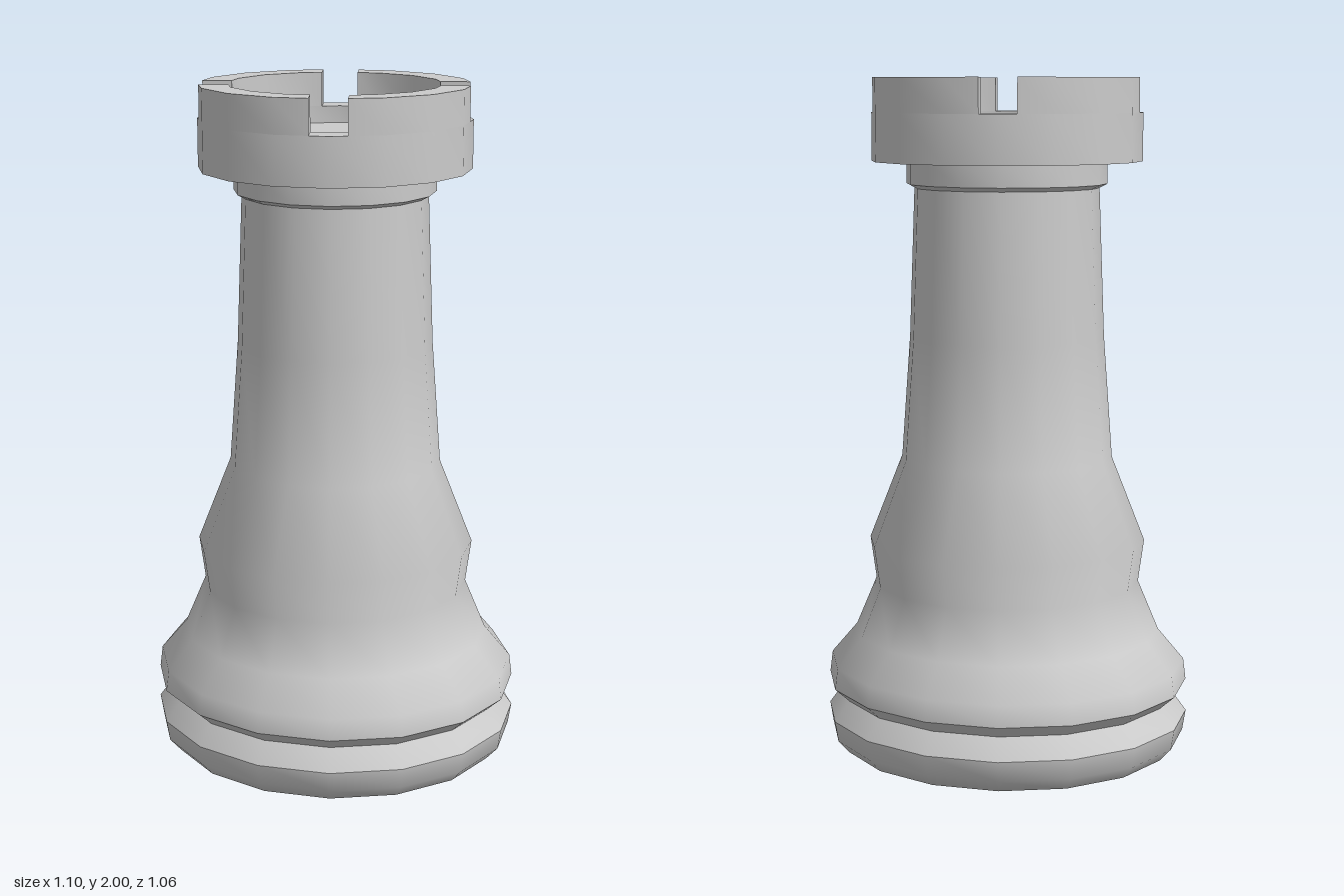
import * as THREE from 'three';
import { toCreasedNormals } from 'three/addons/utils/BufferGeometryUtils.js';

const SIDES = 16;
const CREASE = 0.72;
const RIM_R = 0.395, WELL_R = 0.31;
const NOTCH_Y = 1.9, TOP_Y = 2;
const NOTCH_HALF = 0.053;

const material = new THREE.MeshStandardMaterial({ color: 0xcccccc });

function addMesh(group, name, geometry) {
  const mesh = new THREE.Mesh(toCreasedNormals(geometry, CREASE), material);
  mesh.name = name;
  group.add(mesh);
  return mesh;
}

function lathe(profile) {
  return new THREE.LatheGeometry(profile.map(([r, y]) => new THREE.Vector2(r, y)), SIDES);
}

// The foot is slightly narrower from front to back than from side to side
function squashFoot(geometry) {
  const p = geometry.attributes.position;
  for (let i = 0; i < p.count; i++) {
    const k = THREE.MathUtils.clamp((0.52 - p.getY(i)) / 0.2, 0, 1);
    p.setZ(i, p.getZ(i) * (1 - 0.035 * k));
  }
  return geometry;
}

// One side of a merlon: facet corners between two notches, ending on the notch walls
function merlonEdge(r) {
  const step = (Math.PI * 2) / SIDES;
  const corner = (i) => new THREE.Vector2(r * Math.cos(i * step), r * Math.sin(i * step));
  const a = corner(1), b = corner(2);
  const end = b.clone().lerp(a, (NOTCH_HALF * Math.SQRT2) / (a.x - a.y));
  const mirror = (v) => new THREE.Vector2(v.x, -v.y);
  return [mirror(end), mirror(a), corner(0), a, end];
}

export function createModel() {
  const model = new THREE.Group();
  model.name = 'rook';

  // Rounded foot disc, up to the groove
  addMesh(model, 'foot', squashFoot(lathe([
    [0, 0], [0.4, 0.003], [0.505, 0.022], [0.54, 0.06], [0.55, 0.12], [0.505, 0.18],
  ])));

  // Groove, flared base, bulge and tapering shaft
  addMesh(model, 'body', squashFoot(lathe([
    [0.505, 0.18], [0.548, 0.218], [0.54, 0.28], [0.46, 0.37], [0.393, 0.515],
    [0.41, 0.64], [0.312, 0.89], [0.286, 1.25], [0.27, 1.69],
  ])));

  // Narrow collar under the head
  addMesh(model, 'collar', lathe([
    [0.265, 1.68], [0.293, 1.695], [0.293, 1.76],
  ]));

  // Head with a sunken floor
  addMesh(model, 'head', lathe([
    [0.293, 1.76], [RIM_R, 1.76], [RIM_R, NOTCH_Y], [WELL_R, NOTCH_Y], [WELL_R, 1.85], [0, 1.85],
  ]));

  // Four merlons separated by diagonal notches
  const outline = [...merlonEdge(RIM_R), ...merlonEdge(WELL_R).reverse()];
  const merlon = new THREE.ExtrudeGeometry(new THREE.Shape(outline), {
    depth: TOP_Y - NOTCH_Y, bevelEnabled: false,
  });
  merlon.rotateX(-Math.PI / 2).translate(0, NOTCH_Y, 0);
  for (let i = 0; i < 4; i++) {
    addMesh(model, 'merlon', merlon).rotation.y = (i * Math.PI) / 2;
  }

  return model;
}
